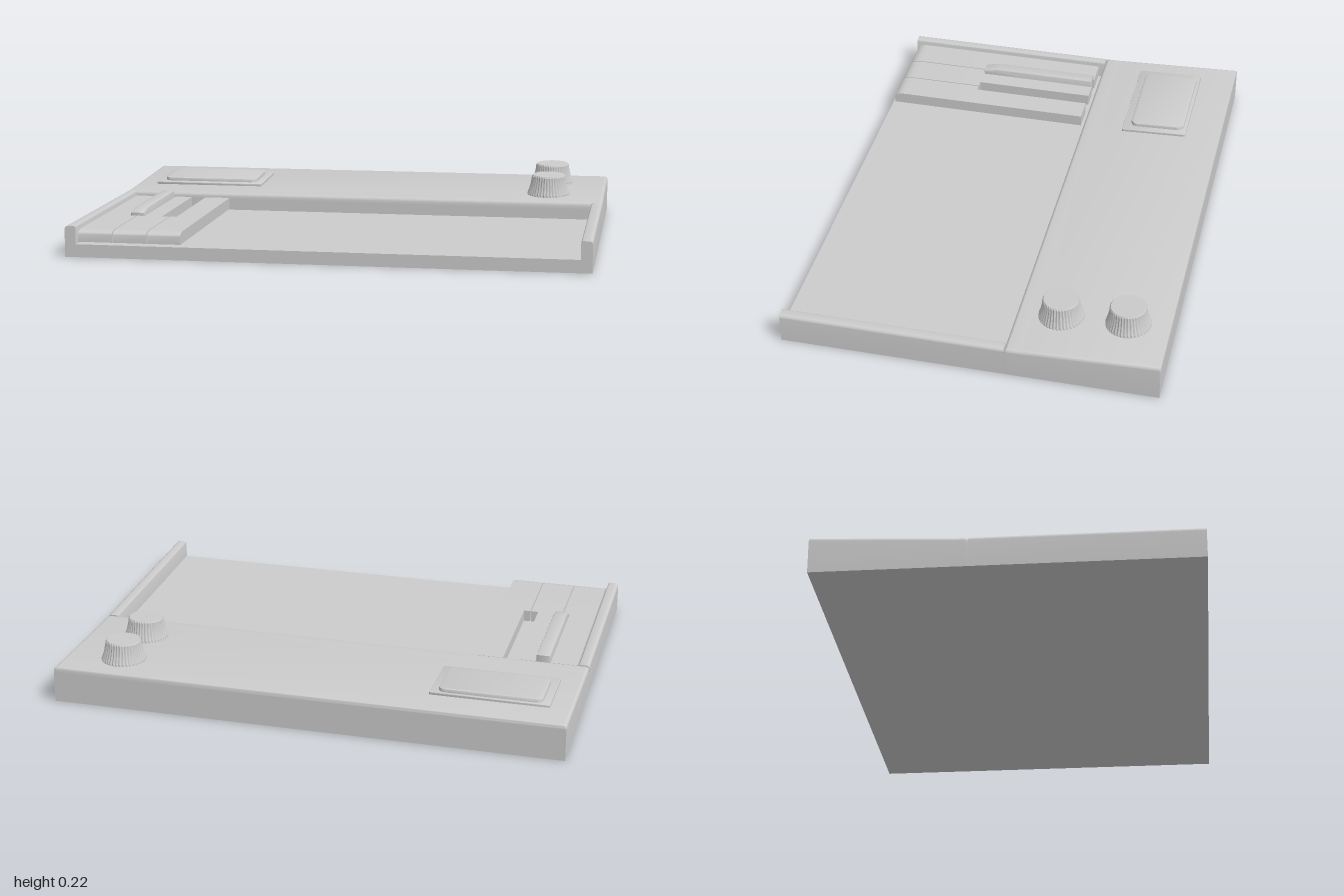
import * as THREE from 'three';
import { toCreasedNormals } from 'three/addons/utils/BufferGeometryUtils.js';

const DEPTH = 0.725, RECESS_BACK = -0.14, INNER = 0.957, FLOOR = 0.05, TOP = 0.12;
const SLOPE = 0.043, BEND = -0.19;
const grey = new THREE.MeshStandardMaterial({ color: 0xcccccc });

// Height of the case top: flat beside the keys, rising towards the back
const topAt = (z) => TOP + Math.max(0, BEND - z) * SLOPE;

function add(parent, name, geometry, crease = 0.6) {
  const mesh = new THREE.Mesh(toCreasedNormals(geometry, crease), grey);
  mesh.name = name;
  parent.add(mesh);
  return mesh;
}

// Block with rounded upper edges, following the case top through the stations zs
function sweptBlock(x0, x1, r0, r1, zs, drop) {
  const s = new THREE.Shape();
  s.moveTo(x0, 0);
  s.lineTo(x1, 0);
  s.lineTo(x1, TOP - r1);
  s.quadraticCurveTo(x1, TOP, x1 - r1, TOP);
  s.lineTo(x0 + r0, TOP);
  s.quadraticCurveTo(x0, TOP, x0, TOP - r0);
  const steps = zs.length - 1;
  const g = new THREE.ExtrudeGeometry(s, { depth: steps, steps, bevelEnabled: false, curveSegments: 5 });
  const p = g.attributes.position;
  for (let i = 0; i < p.count; i++) {
    const z = zs[Math.round(p.getZ(i))], y = p.getY(i);
    p.setXYZ(i, p.getX(i), y > 0.05 ? y + topAt(z) - TOP - drop(z) : y, z);
  }
  return g;
}

// Side profile given as [z, y] points, extruded across x from x0 to x1
function profile(points, x0, x1, bevel = 0) {
  const s = new THREE.Shape(points.map(([z, y]) => new THREE.Vector2(-z, y)));
  const g = new THREE.ExtrudeGeometry(s, {
    depth: x1 - x0 - 2 * bevel, bevelEnabled: bevel > 0, bevelSize: bevel,
    bevelThickness: bevel, bevelOffset: -bevel, bevelSegments: 2,
  });
  return g.rotateY(Math.PI / 2).translate(x0 + bevel, 0, 0);
}

// Panel slab with rounded corners and a small bevel, lying flat from y = 0
function slab(w, d, h, corner, bevel) {
  const x = w / 2, y = d / 2, s = new THREE.Shape();
  s.moveTo(-x + corner, -y);
  for (const [cx, cy, a] of [[1, -1, -0.5], [1, 1, 0], [-1, 1, 0.5], [-1, -1, 1]]) {
    s.absarc(cx * (x - corner), cy * (y - corner), corner, a * Math.PI, (a + 0.5) * Math.PI, false);
  }
  return new THREE.ExtrudeGeometry(s, {
    depth: h - bevel, bevelSize: bevel, bevelThickness: bevel, bevelOffset: -bevel,
    bevelSegments: 2, curveSegments: 5,
  }).rotateX(-Math.PI / 2);
}

// Fluted control knob with a flared skirt
function knobGeometry() {
  const outline = [[0, 0], [0.087, 0], [0.087, 0.008], [0.08, 0.025], [0.075, 0.045],
    [0.071, 0.065], [0.07, 0.078], [0.065, 0.084], [0, 0.084]];
  const g = new THREE.LatheGeometry(outline.map(([r, y]) => new THREE.Vector2(r, y)), 80);
  const p = g.attributes.position;
  for (let i = 0; i < p.count; i++) {
    const y = p.getY(i);
    const notch = Math.floor(i / outline.length) % 2 && y > 0.005 && y < 0.08 ? 0.965 : 1;
    p.setXYZ(i, p.getX(i) * notch, y, p.getZ(i) * notch);
  }
  return g;
}

export function createModel() {
  const model = new THREE.Group();

  // Case: rear panel, two side walls and the recessed key bed
  const body = new THREE.Group();
  body.name = 'case';
  model.add(body);
  const R = 0.014;
  const lip = (z) => {
    const d = Math.max(0, z - (RECESS_BACK - R), -DEPTH + 0.006 - z);
    const r = z < -0.5 ? 0.006 : R;
    return r - Math.sqrt(Math.max(0, r * r - d * d));
  };
  const rear = [-DEPTH, -0.723, -0.719, -0.25, -0.22, BEND, -0.154, -0.149, -0.145, -0.142, RECESS_BACK];
  add(body, 'rearPanel', sweptBlock(-1, 1, R, R, rear, lip));
  const along = [RECESS_BACK, DEPTH];
  add(body, 'rightWall', sweptBlock(-1, -INNER, R, 0.008, along, () => 0));
  add(body, 'leftWall', sweptBlock(INNER, 1, 0.008, R, along, () => 0));
  const bed = new THREE.BoxGeometry(2 * INNER, FLOOR, DEPTH - RECESS_BACK);
  add(body, 'keyBed', bed.translate(0, FLOOR / 2, (DEPTH + RECESS_BACK) / 2));

  // Natural keys: full-width head with a rounded front, narrower shank behind
  const keys = new THREE.Group();
  keys.name = 'keys';
  model.add(keys);
  const keyTop = 0.104, keyBottom = 0.058, split = 0.37, front = 0.715;
  const head = [[split, keyBottom], [split, keyTop]];
  for (let i = 0; i <= 6; i++) {
    const a = (i / 6) * Math.PI / 2;
    head.push([front - 0.045 + 0.045 * Math.sin(a), keyTop - 0.016 + 0.016 * Math.cos(a)]);
  }
  head.push([front, keyBottom]);
  const shank = [[-0.115, keyBottom], [-0.115, keyTop], [split, keyTop], [split, keyBottom]];
  const naturals = [
    [-0.95, -0.817, -0.95, -0.843],
    [-0.813, -0.683, -0.782, -0.712],
    [-0.679, -0.55, -0.653, -0.55],
  ];
  naturals.forEach(([h0, h1, s0, s1], i) => {
    const key = new THREE.Group();
    key.name = `naturalKey${i + 1}`;
    add(key, 'keyHead', profile(head.slice().reverse(), h0, h1));
    add(key, 'keyShank', profile(shank.slice().reverse(), s0, s1));
    keys.add(key);
  });

  // Single raised key with a sloping nose
  const sharp = [[0.37, 0.06], [0.37, 0.116], [0.35, 0.122], [0.31, 0.13], [-0.112, 0.13], [-0.112, 0.06]];
  add(keys, 'raisedKey', profile(sharp, -0.84, -0.785, 0.006));

  // Places a part flush on the sloping rear panel
  const onPanel = (mesh, x, z, lift = 0) => {
    mesh.position.set(x, topAt(z) + lift, z);
    mesh.rotation.x = Math.atan(SLOPE);
  };

  // Display: thin frame and raised screen
  const display = new THREE.Group();
  display.name = 'display';
  onPanel(display, -0.685, -0.445, -0.003);
  model.add(display);
  add(display, 'displayFrame', slab(0.46, 0.27, 0.013, 0.006, 0.003));
  add(display, 'displayScreen', slab(0.4, 0.225, 0.027, 0.03, 0.006)).position.z = -0.01;

  // Knobs
  [-0.565, -0.31].forEach((z, i) => {
    onPanel(add(model, `knob${i + 1}`, knobGeometry(), 0.3), 0.77, z, -0.001);
  });
  return model;
}
